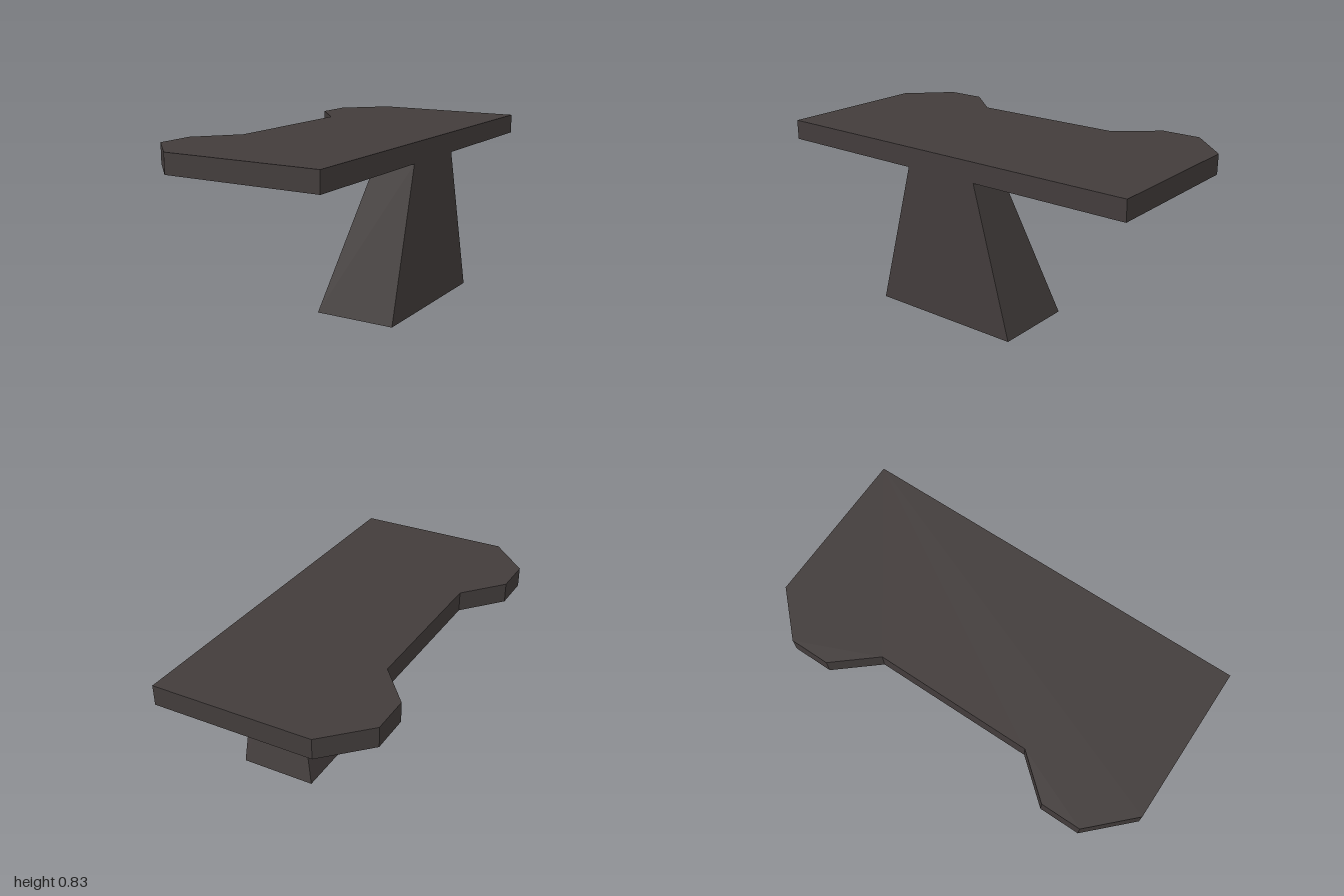
import * as THREE from 'three';

const SLAB_BOTTOM = 0.733;
const SLAB_THICKNESS = 0.1;

export function createModel() {
  const group = new THREE.Group();
  group.name = 'pedestalTable';

  const darkStone = new THREE.MeshStandardMaterial({ color: 0x423c3b });
  darkStone.name = 'darkStone';

  // Table top: half outline mirrored in z, with a recess between two chamfered lobes
  const half = [[0.5, 1], [-0.3, 1], [-0.5, 0.8], [-0.5, 0.6], [-0.33, 0.4]];
  const mirrored = half.map(([x, z]) => [x, -z]).reverse();
  const outline = [...half, ...mirrored].map(([x, z]) => new THREE.Vector2(x, z));
  const slabGeometry = new THREE.ExtrudeGeometry(new THREE.Shape(outline), {
    depth: SLAB_THICKNESS,
    bevelEnabled: false,
  });
  slabGeometry.rotateX(-Math.PI / 2);
  const tableTop = new THREE.Mesh(slabGeometry, darkStone);
  tableTop.name = 'tableTop';
  tableTop.position.y = SLAB_BOTTOM;
  group.add(tableTop);

  // Pedestal: a box widened towards the floor, its outer face upright and flush with the top
  const boxGeometry = new THREE.BoxGeometry(1, SLAB_BOTTOM, 1);
  boxGeometry.translate(0, SLAB_BOTTOM / 2, 0);
  const legGeometry = boxGeometry.toNonIndexed();
  const p = legGeometry.attributes.position;
  for (let i = 0; i < p.count; i++) {
    const atTop = p.getY(i) > SLAB_BOTTOM / 2;
    p.setX(i, p.getX(i) > 0 ? 0.5 : atTop ? 0.3 : 0.095);
    p.setZ(i, Math.sign(p.getZ(i)) * (atTop ? 0.2 : 0.4));
  }
  legGeometry.computeVertexNormals();
  const pedestal = new THREE.Mesh(legGeometry, darkStone);
  pedestal.name = 'pedestal';
  group.add(pedestal);

  return group;
}
